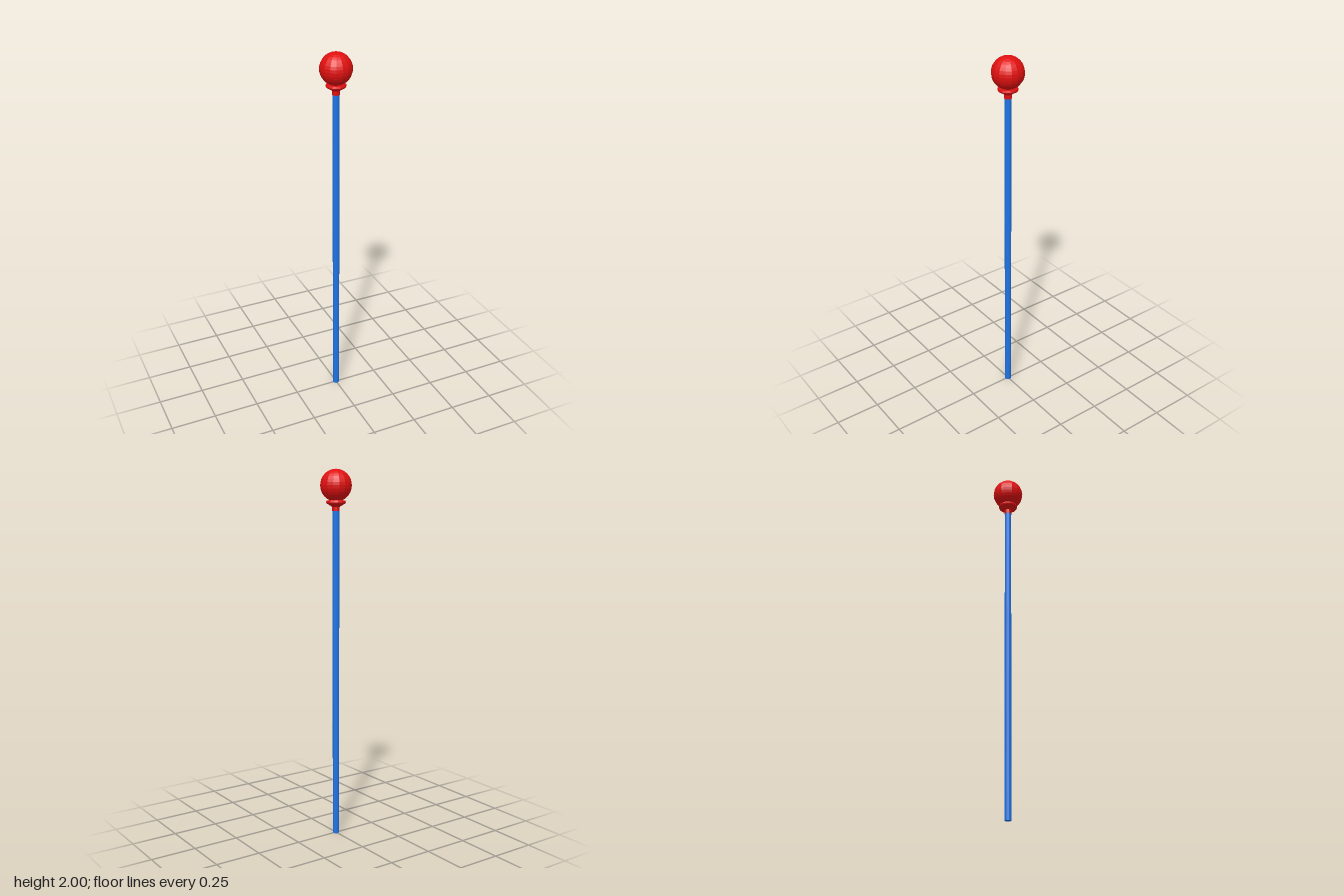
import * as THREE from 'three';

const SIDES = 16;

export function createModel() {
  const model = new THREE.Group();
  const red = new THREE.MeshStandardMaterial({ color: 0xe01010, flatShading: true });
  const blue = new THREE.MeshStandardMaterial({ color: 0x1f74e4, flatShading: true });

  const add = (name, geometry, material, y = 0) => {
    const mesh = new THREE.Mesh(geometry, material);
    mesh.name = name;
    mesh.position.y = y;
    model.add(mesh);
  };

  // Long straight pole
  add('pole', new THREE.CylinderGeometry(0.018, 0.018, 1.79, SIDES), blue, 0.895);

  // Neck sleeve flaring into a collar under the ball
  const profile = [
    [0, 1.783], [0.02, 1.783], [0.02, 1.805], [0.05, 1.823],
    [0.053, 1.829], [0.05, 1.838], [0, 1.842],
  ].map(([r, y]) => new THREE.Vector2(r, y));
  add('collar', new THREE.LatheGeometry(profile, SIDES), red);

  // Faceted ball on top
  add('ball', new THREE.SphereGeometry(0.084, SIDES, SIDES), red, 1.916);

  return model;
}
